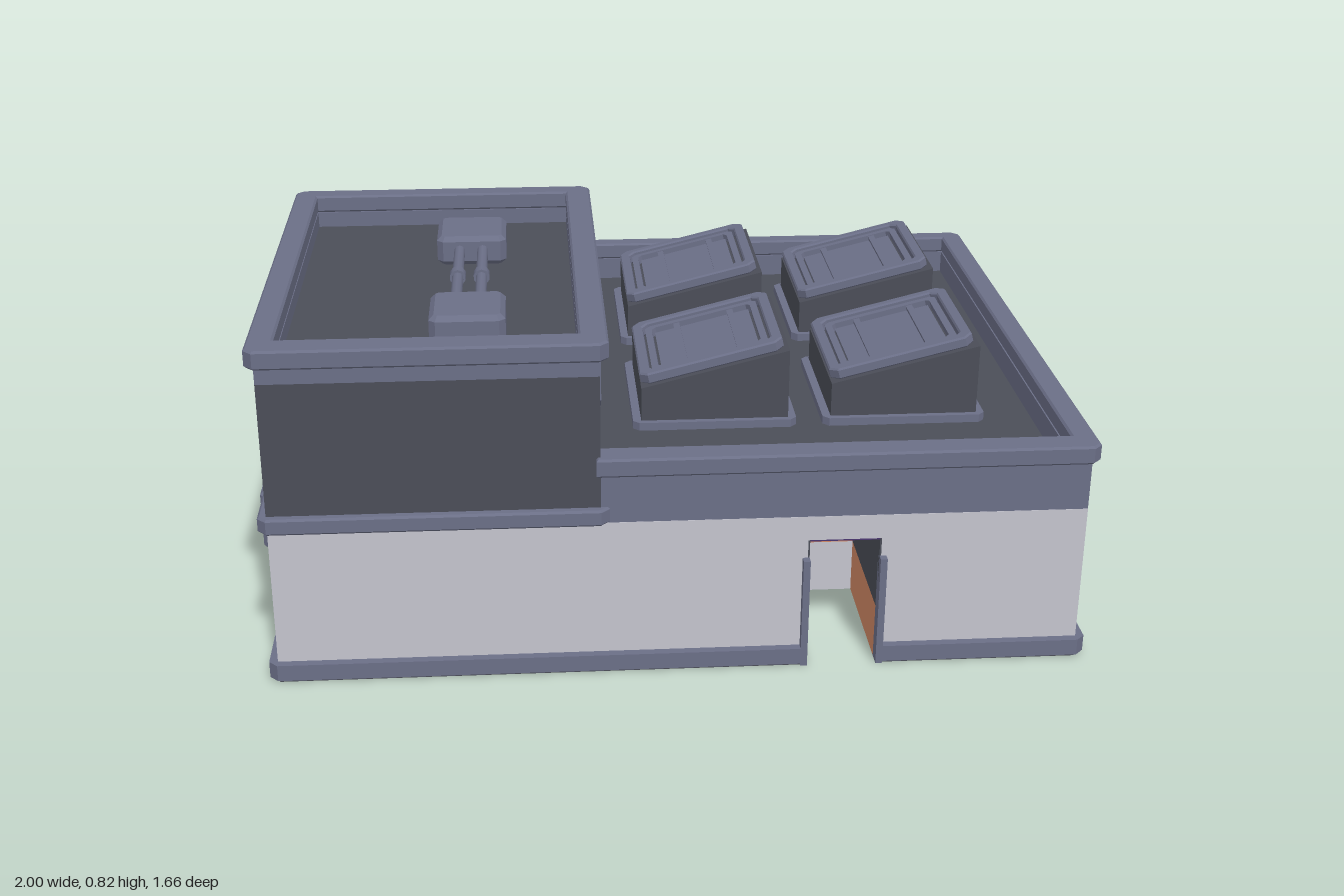
import * as THREE from 'three';

const mat = (name, color, side = THREE.FrontSide) => {
  const m = new THREE.MeshStandardMaterial({ color, side });
  m.name = name;
  return m;
};

export function createModel() {
  const root = new THREE.Group();
  root.name = 'building';
  const M = {
    wall: mat('paleWall', 0xc4c4ce),
    trim: mat('slateBlue', 0x6b6f87),
    dark: mat('charcoal', 0x4b4e58),
    orange: mat('orange', 0xd28a66),
    purple: mat('purple', 0x4a3570),
    black: mat('black', 0x0b0b0c),
  };
  const add = (name, geo, material, parent = root) => {
    const m = new THREE.Mesh(geo, material);
    m.name = name;
    parent.add(m);
    return m;
  };
  const box = (name, x0, x1, y0, y1, z0, z1, material, parent) => {
    const g = new THREE.BoxGeometry(x1 - x0, y1 - y0, z1 - z0);
    g.translate((x0 + x1) / 2, (y0 + y1) / 2, (z0 + z1) / 2);
    return add(name, g, material, parent);
  };
  // Plan points are [x, z, chamfer]; a third value cuts that corner.
  const outline = (pts) => {
    const out = [];
    pts.forEach(([x, z, c], i) => {
      if (!c) return out.push(new THREE.Vector2(x, -z));
      const p = new THREE.Vector2(x, -z);
      for (const q of [pts.at(i - 1), pts[(i + 1) % pts.length]]) {
        const d = new THREE.Vector2(q[0], -q[1]).sub(p).setLength(c);
        out.push(d.add(p));
      }
    });
    return out;
  };
  const rect = (x0, x1, z0, z1, c = 0) => [[x0, z1, c], [x1, z1, c], [x1, z0, c], [x0, z0, c]];
  const prismGeo = (pts, y0, y1, hole, b = 0) => {
    const s = new THREE.Shape(outline(pts));
    if (hole) s.holes.push(new THREE.Path(outline(hole)));
    const g = new THREE.ExtrudeGeometry(s, {
      depth: y1 - y0 - 2 * b, bevelEnabled: b > 0, bevelThickness: b, bevelSize: b,
      bevelOffset: -b, bevelSegments: 1,
    });
    return g.translate(0, 0, b).rotateX(-Math.PI / 2).translate(0, y0, 0);
  };
  const prism = (name, pts, y0, y1, material, hole, b, parent) =>
    add(name, prismGeo(pts, y0, y1, hole, b), material, parent);
  const tube = (name, pts, r, parent = root) => {
    const path = new THREE.CurvePath();
    const v = pts.map((p) => new THREE.Vector3(...p));
    let from = v[0];
    for (let i = 1; i < v.length - 1; i++) {
      const bend = Math.min(0.06, v[i].distanceTo(v[i + 1]) * 0.9);
      const a = v[i].clone().add(v[i - 1].clone().sub(v[i]).setLength(bend));
      const b = v[i].clone().add(v[i + 1].clone().sub(v[i]).setLength(bend));
      path.add(new THREE.LineCurve3(from, a));
      path.add(new THREE.QuadraticBezierCurve3(a, v[i], b));
      from = b;
    }
    path.add(new THREE.LineCurve3(from, v.at(-1)));
    return add(name, new THREE.TubeGeometry(path, 40, r, 10), M.trim, parent);
  };
  const collar = (x, y, z, r, h, alongZ) => {
    const g = new THREE.CylinderGeometry(r, r, h, 10);
    if (alongZ) g.rotateX(Math.PI / 2);
    add('pipeCollar', g.translate(x, y, z), M.trim);
  };

  // Ground-floor plan with three door recesses; o grows it outward
  const D = 0.34, F = 0.81, B = -0.68;
  const plan = (o, c, notched = true) => {
    const cut = (a, b, z, s) => (notched ? [[a, z + s * o], [a, z - s * D], [b, z - s * D], [b, z + s * o]] : []);
    return [
      [-0.89 - o, F + o, c], ...cut(0.335, 0.505, F, 1), [0.98 + o, F + o, c],
      [0.98 + o, B - o, c], ...cut(0.89, 0.72, B, -1), ...cut(0.1, -0.325, B, -1),
      [-0.51 - o, B - o, c], [-0.51 - o, -0.31 - o], [-0.89 - o, -0.31 - o, c],
    ];
  };
  prism('floor', plan(0.015, 0.02), 0, 0.005, M.dark);
  prism('plinth', plan(0.02, 0.02), 0.005, 0.045, M.trim);
  prism('groundWalls', plan(0, 0), 0.045, 0.32, M.wall);
  prism('upperWalls', plan(0, 0, false), 0.32, 0.38, M.wall);

  // Door recess linings and jambs; s is the outward z direction
  const door = (x0, x1, z, s, front) => {
    const g = new THREE.Group();
    g.name = 'doorway';
    root.add(g);
    const t = 0.004, zr = (a, b) => [Math.min(z + s * a, z + s * b), Math.max(z + s * a, z + s * b)];
    for (const [a, b] of [[x0, x0 + t], [x1 - t, x1]]) {
      box('lowerLining', a, b, 0, 0.135, ...zr(-D, 0.004), M.orange, g);
      box('upperLining', a, b, 0.135, 0.32, ...zr(-D, 0), M.dark, g);
    }
    box('recessCeiling', x0, x1, 0.316, 0.322, ...zr(-D, -0.001), M.purple, g);
    box('recessBackLower', x0, x1, 0, 0.135, ...zr(-D, -D + t), front ? M.wall : M.black, g);
    box('recessBackUpper', x0, x1, 0.135, 0.318, ...zr(-D, -D + t), front ? M.orange : M.black, g);
    for (const [a, b] of [[x0 - 0.012, x0 + 0.004], [x1 - 0.004, x1 + 0.012]])
      box('doorJamb', a, b, 0, 0.275, ...zr(-0.015, 0.02), M.trim, g);
  };
  door(0.335, 0.505, F, 1, true);
  door(0.72, 0.89, B, -1, false);
  door(-0.325, 0.1, B, -1, false);

  // Main roof with a parapet that ends against the tower
  box('mainRoof', -0.5, 0.97, 0.38, 0.44, -0.67, 0.8, M.dark);
  const parapet = (o) => [
    [-0.15, F + o], [0.98 + o, F + o, 0.02], [0.98 + o, B - o, 0.02], [-0.51 - o, B - o, 0.02],
    [-0.51 - o, -0.31], [-0.47, -0.31], [-0.47, -0.65], [0.94, -0.65], [0.94, 0.76], [-0.15, 0.76],
  ];
  const bandPts = parapet(0).map(([x, z]) => [x, z === F ? F - 0.001 : z]);
  prism('mainBand', bandPts, 0.38, 0.5, M.trim);
  prism('mainRim', parapet(0.018), 0.5, 0.545, M.trim, null, 0.005);

  // Tower storey
  const towerHole = rect(-0.85, -0.185, -0.275, 0.76);
  prism('towerSill', rect(-0.91, -0.12, -0.33, 0.83, 0.02), 0.38, 0.42, M.trim, null, 0.005);
  prism('towerWalls', rect(-0.89, -0.14, -0.31, 0.811), 0.42, 0.74, M.dark);
  prism('towerBand', rect(-0.89, -0.14, -0.31, 0.811), 0.74, 0.78, M.trim, towerHole);
  prism('towerRim', rect(-0.91, -0.12, -0.33, 0.83, 0.02), 0.78, 0.825, M.trim, towerHole, 0.005);

  // Tower roof units joined by a pair of pipes
  for (const z of [-0.025, 0.535])
    prism('roofUnit', rect(-0.52, -0.345, z - 0.088, z + 0.088, 0.015), 0.74, 0.815, M.trim, null, 0.012);
  for (const x of [-0.463, -0.405]) {
    tube('roofPipe', [[x, 0.78, 0.04], [x, 0.78, 0.47]], 0.014);
    collar(x, 0.78, 0.25, 0.02, 0.03, true);
  }

  // Tower side windows
  for (const s of [-1, 1]) {
    const w = new THREE.Group();
    w.name = 'sideWindow';
    const ring = prismGeo(rect(-0.13, 0.13, -0.095, 0.095, 0.025), 0, 0.02,
      rect(-0.1, 0.1, -0.068, 0.068, 0.015));
    add('windowFrame', ring, M.trim, w);
    for (const x of [-0.048, 0.048])
      prism('windowPane', rect(x - 0.034, x + 0.034, -0.055, 0.055, 0.01), 0, 0.007, M.trim, null, 0, w);
    box('windowMullion', -0.008, 0.008, 0, 0.016, -0.068, 0.068, M.trim, w);
    w.rotation.set(Math.PI / 2, 0, -s * Math.PI / 2, 'YZX');
    w.rotation.set(Math.PI / 2, s * Math.PI / 2, 0, 'YXZ');
    w.position.set(s > 0 ? -0.14 : -0.89, 0.565, 0.25);
    root.add(w);
  }

  // Four tilted skylights
  const wedge = new THREE.Shape([[-0.18, 0], [0.18, 0], [0.18, 0.195], [-0.18, 0.105]]
    .map((p) => new THREE.Vector2(...p)));
  const wedgeGeo = new THREE.ExtrudeGeometry(wedge, { depth: 0.37, bevelEnabled: false }).translate(0, 0, -0.185);
  for (const x of [0.155, 0.62]) for (const z of [-0.315, 0.245]) {
    const g = new THREE.Group();
    g.name = 'skylight';
    g.position.set(x, 0.44, z);
    root.add(g);
    prism('skylightFlange', rect(-0.2, 0.2, -0.2, 0.2, 0.015), 0, 0.02, M.trim, null, 0, g);
    add('skylightBody', wedgeGeo, M.dark, g);
    const lid = new THREE.Group();
    lid.name = 'skylightLid';
    lid.position.set(-0.003, 0.15, 0);
    lid.rotation.z = Math.atan2(0.09, 0.36);
    g.add(lid);
    prism('lidFrame', rect(-0.18, 0.178, -0.175, 0.175, 0.02), 0, 0.028, M.trim,
      rect(-0.153, 0.151, -0.15, 0.15, 0.015), 0.004, lid);
    prism('innerFrame', rect(-0.147, 0.145, -0.144, 0.144, 0.012), 0, 0.02, M.trim,
      rect(-0.13, 0.128, -0.127, 0.127, 0.01), 0, lid);
    box('lidPane', -0.124, 0.122, 0, 0.008, -0.121, 0.121, M.trim, lid);
    for (const bx of [-0.065, 0.075])
      box('lidBar', bx - 0.008, bx + 0.008, 0, 0.018, -0.13, 0.13, M.trim, lid);
  }

  // Gooseneck vent entering the tower
  prism('ventBase', rect(-0.32, -0.222, -0.47, -0.375, 0.01), 0.44, 0.5, M.trim, null, 0.006);
  tube('ventPipe', [[-0.271, 0.48, -0.42], [-0.271, 0.645, -0.42], [-0.271, 0.645, -0.3]], 0.034);

  // Side tanks with riser pipes
  for (const z of [-0.18, 0.095]) {
    prism('sideTank', [[-1, z - 0.092, 0.02], [-0.88, z - 0.092], [-0.88, z + 0.092], [-1, z + 0.092, 0.02]],
      0, 0.17, M.trim, null, 0.012);
    tube('riserPipe', [[-0.927, 0.15, z], [-0.927, 0.735, z], [-0.88, 0.735, z]], 0.016);
    for (const y of [0.18, 0.42, 0.655]) collar(-0.927, y, z, 0.021, 0.022);
  }

  // Corner downpipe
  tube('downpipe', [[-0.55, 0.02, -0.64], [-0.55, 0.37, -0.64], [-0.5, 0.37, -0.64]], 0.016);
  for (const y of [0.09, 0.31]) collar(-0.55, y, -0.64, 0.022, 0.025);

  // Rear awning on two posts
  const slope = Math.atan2(0.045, 0.15);
  const awning = prism('awning', [[0.605, -0.07, 0.02], [0.975, -0.07, 0.02], [0.975, 0.09], [0.605, 0.09]],
    -0.012, 0.012, M.dark);
  awning.position.set(0, 0.336, -0.76);
  awning.rotation.x = -slope;
  for (const x of [0.635, 0.945]) box('awningPost', x - 0.014, x + 0.014, 0, 0.33, -0.78, -0.752, M.trim);

  return root;
}
